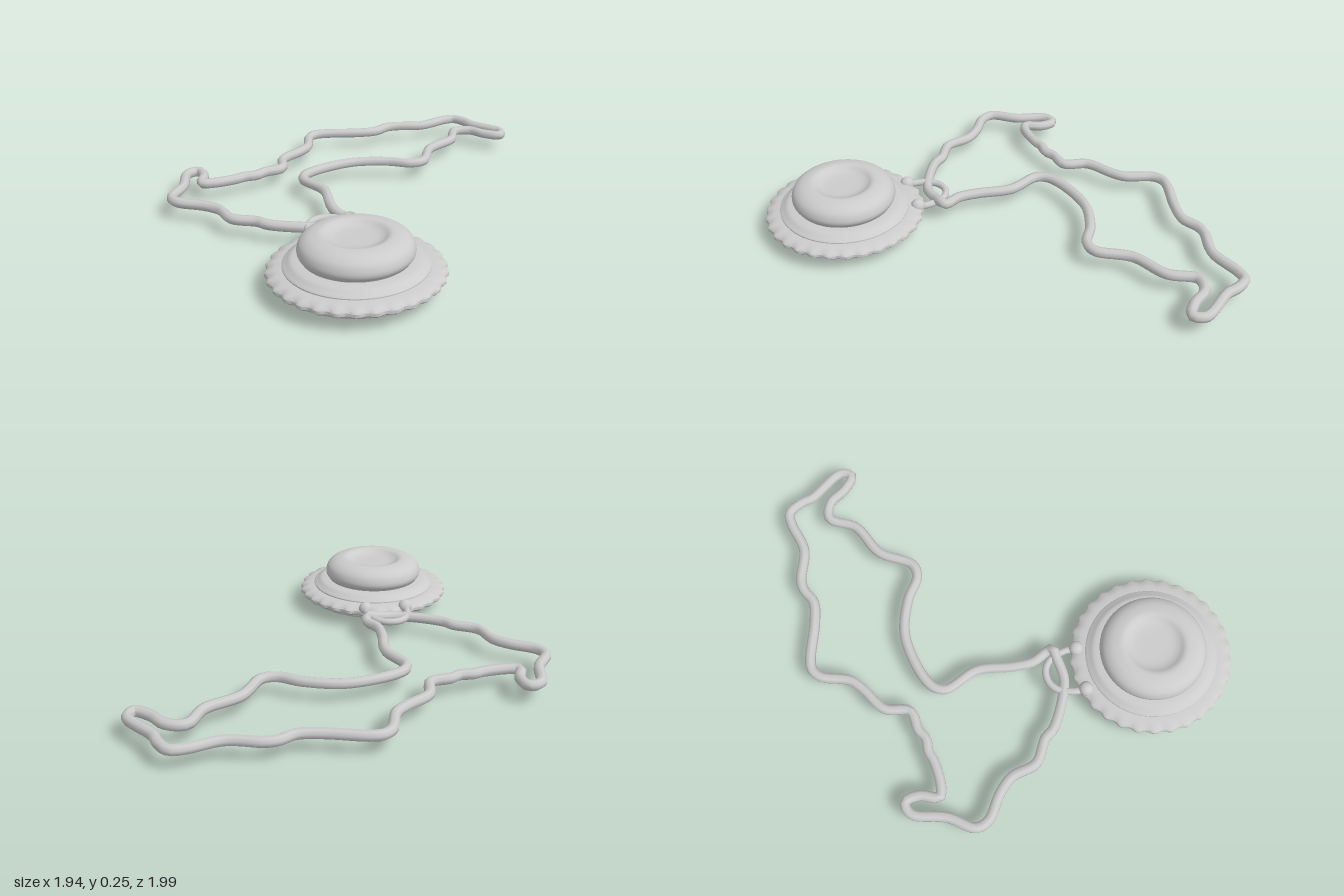
import * as THREE from 'three';
import { toCreasedNormals } from 'three/addons/utils/BufferGeometryUtils.js';

const CENTER = [-0.325, 0.605]; // pendant axis (x, z)

export function createModel() {
  const group = new THREE.Group();
  const material = new THREE.MeshStandardMaterial({ color: 0xcccccc, side: THREE.DoubleSide });

  const add = (name, geometry, x = 0, y = 0, z = 0) => {
    const mesh = new THREE.Mesh(geometry, material);
    mesh.name = name;
    mesh.position.set(x, y, z);
    group.add(mesh);
  };
  const lathe = (points, segments) =>
    new THREE.LatheGeometry(points.map(([r, y]) => new THREE.Vector2(r, y)), segments);
  const smoothProfile = (points) =>
    new THREE.SplineCurve(points.map(([r, y]) => new THREE.Vector2(r, y)))
      .getPoints(points.length * 4).map((p) => [Math.max(p.x, 0), p.y]);

  // Shallow convex back plate
  add('backPlate', lathe([[0, 0], [0.13, 0.004], [0.22, 0.014], [0.29, 0.027],
    [0.33, 0.04], [0.345, 0.05], [0.34, 0.062]], 64), CENTER[0], 0, CENTER[1]);

  // Wide rim with a scalloped outer edge
  const rim = lathe([[0.28, 0.055], [0.335, 0.058], [0.368, 0.066], [0.379, 0.076],
    [0.379, 0.09], [0.37, 0.1], [0.34, 0.109], [0.305, 0.114], [0.28, 0.114]], 180);
  const p = rim.attributes.position;
  for (let i = 0; i < p.count; i++) {
    const x = p.getX(i), z = p.getZ(i), r = Math.hypot(x, z);
    const weight = THREE.MathUtils.smoothstep(r, 0.33, 0.375);
    const k = 1 + 0.016 * weight * Math.cos(30 * Math.atan2(z, x));
    p.setX(i, x * k);
    p.setZ(i, z * k);
  }
  rim.computeVertexNormals();
  add('scallopedRim', toCreasedNormals(rim, 0.7), CENTER[0], 0, CENTER[1]);

  // Raised step around the dome
  add('collar', toCreasedNormals(lathe([[0.312, 0.1], [0.312, 0.118], [0.304, 0.126],
    [0.292, 0.13], [0.286, 0.138], [0.272, 0.143], [0.255, 0.146], [0.22, 0.148]], 64), 0.7),
  CENTER[0], 0, CENTER[1]);

  // Cushion-shaped dome with a round dish in its top
  add('dome', lathe(smoothProfile([[0.225, 0.13], [0.234, 0.15], [0.247, 0.17],
    [0.248, 0.193], [0.235, 0.222], [0.205, 0.244], [0.165, 0.254], [0.14, 0.252],
    [0.115, 0.238], [0.08, 0.23], [0, 0.229]]), 64), CENTER[0], 0, CENTER[1]);

  // Hanging loop and its two ball ends
  const arch = [[-0.428, 0.265], [-0.425, 0.2], [-0.4, 0.135], [-0.365, 0.105], [-0.325, 0.096]];
  const mirrored = arch.slice(0, -1).reverse().map(([x, z]) => [2 * CENTER[0] - x, z]);
  const archCurve = new THREE.CatmullRomCurve3(
    [...arch, ...mirrored].map(([x, z]) => new THREE.Vector3(x, 0.093, z)));
  add('hangingLoop', new THREE.TubeGeometry(archCurve, 40, 0.017, 10));
  for (const side of [-1, 1]) {
    add(side < 0 ? 'rightLoopBall' : 'leftLoopBall', new THREE.SphereGeometry(0.035, 20, 14),
      CENTER[0] + side * 0.102, 0.1, 0.265);
  }

  // Cord lying loosely on one level, threaded through the loop (x, z, optional y)
  const cord = [
    [-0.205, 0.13, 0.09], [-0.243, 0.05], [-0.245, -0.05], [-0.227, -0.22], [-0.287, -0.38],
    [-0.25, -0.445], [0.005, -0.518], [0.195, -0.47], [0.3, -0.407], [0.37, -0.415],
    [0.47, -0.565], [0.63, -0.655], [0.705, -0.775], [0.79, -0.757], [0.845, -0.68],
    [0.915, -0.63], [0.942, -0.68], [0.835, -0.845], [0.82, -0.9], [0.778, -0.965],
    [0.72, -0.967], [0.56, -0.925], [0.41, -0.962], [0.355, -0.958], [0.28, -0.92],
    [0.175, -0.93], [-0.005, -0.978], [-0.058, -0.978], [-0.1, -0.945], [-0.148, -0.81],
    [-0.2, -0.76], [-0.318, -0.677], [-0.355, -0.56], [-0.45, -0.54], [-0.497, -0.513],
    [-0.56, -0.513], [-0.608, -0.497], [-0.73, -0.487], [-0.778, -0.503], [-0.751, -0.587],
    [-0.762, -0.656], [-0.794, -0.661], [-0.83, -0.635], [-0.873, -0.487], [-0.947, -0.37],
    [-0.926, -0.307], [-0.82, -0.233], [-0.757, -0.164], [-0.72, -0.042], [-0.614, 0.026],
    [-0.582, 0.069], [-0.466, 0.138], [-0.355, 0.176], [-0.25, 0.163, 0.1], [-0.205, 0.155, 0.11],
  ];
  const cordCurve = new THREE.CatmullRomCurve3(
    cord.map(([x, z, y = 0.088]) => new THREE.Vector3(x, y, z)), true, 'centripetal');
  add('cord', new THREE.TubeGeometry(cordCurve, 260, 0.025, 8, true));

  return group;
}
